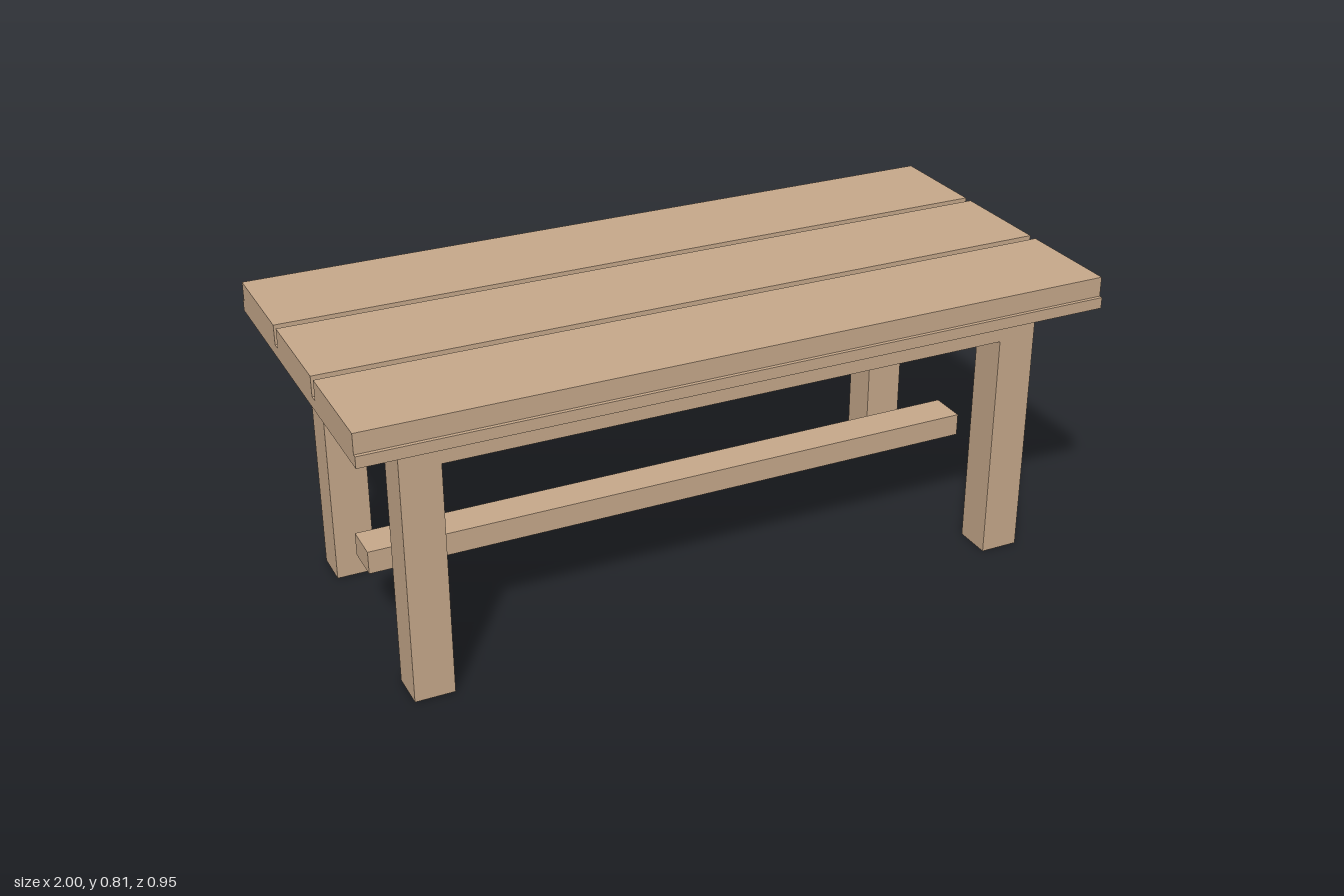
import * as THREE from 'three';

const wood = new THREE.MeshStandardMaterial({ color: 0xc8aa8c });
wood.name = 'wood';

// Box given by its lower and upper corners
function beam(name, [x0, y0, z0], [x1, y1, z1]) {
  const mesh = new THREE.Mesh(new THREE.BoxGeometry(x1 - x0, y1 - y0, z1 - z0), wood);
  mesh.position.set((x0 + x1) / 2, (y0 + y1) / 2, (z0 + z1) / 2);
  mesh.name = name;
  return mesh;
}

// Table top: stepped cross-section with two slots, run along x
function makeTop() {
  const bottom = 0.728, ledge = 0.758, top = 0.811;
  const half = [
    [0.473, bottom], [0.473, ledge], [0.463, ledge], [0.463, top],
    [0.169, top], [0.169, ledge], [0.146, ledge], [0.146, top],
  ];
  const mirrored = half.map(([z, y]) => [-z, y]).reverse();
  const shape = new THREE.Shape([...half, ...mirrored].map(([z, y]) => new THREE.Vector2(z, y)));
  const geometry = new THREE.ExtrudeGeometry(shape, { depth: 2, bevelEnabled: false });
  geometry.translate(0, 0, -1).rotateY(Math.PI / 2);
  const mesh = new THREE.Mesh(geometry, wood);
  mesh.name = 'plankTop';
  return mesh;
}

export function createModel() {
  const table = new THREE.Group();
  table.name = 'table';
  table.add(makeTop());

  const legIn = 0.768, legOut = 0.873, zIn = 0.264, zOut = 0.368;
  for (const [side, z0, z1] of [['front', zIn, zOut], ['back', -zOut, -zIn]]) {
    // Legs
    table.add(beam(side + 'LeftLeg', [legIn, 0, z0], [legOut, 0.728, z1]));
    table.add(beam(side + 'RightLeg', [-legOut, 0, z0], [-legIn, 0.728, z1]));
    // Long rail, flush with the outer face of the legs
    const outer = side === 'front' ? [zOut - 0.052, zOut] : [-zOut, -zOut + 0.052];
    table.add(beam(side + 'Rail', [-legIn, 0.635, outer[0]], [legIn, 0.728, outer[1]]));
  }

  // Central foot bar
  table.add(beam('stretcher', [-legOut, 0.19, -0.052], [legOut, 0.253, 0.052]));
  return table;
}
